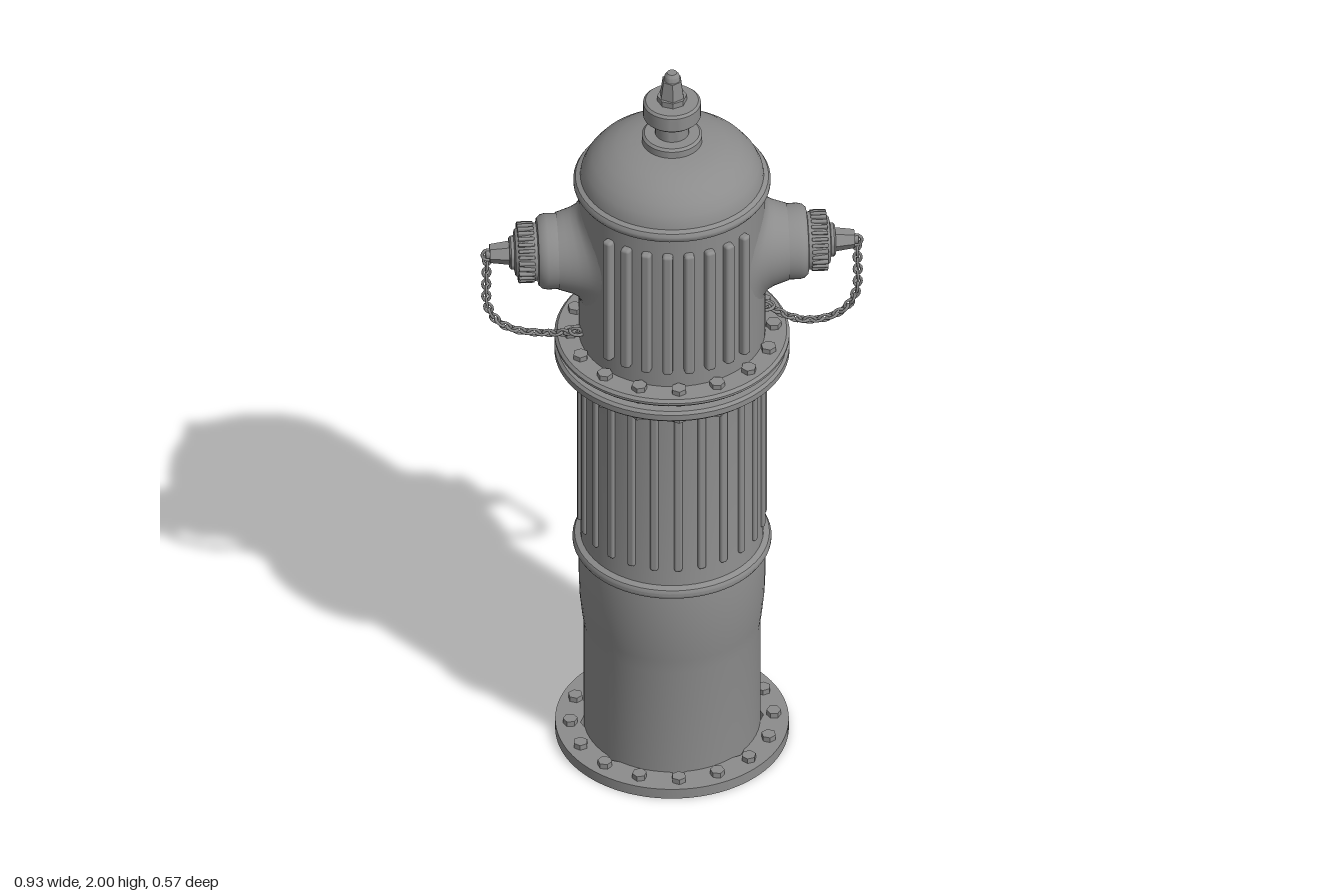
import * as THREE from 'three';
import { toCreasedNormals } from 'three/addons/utils/BufferGeometryUtils.js';
import { RoundedBoxGeometry } from 'three/addons/geometries/RoundedBoxGeometry.js';

const material = new THREE.MeshStandardMaterial({ color: 0x8c8c8c, side: THREE.DoubleSide });
const HEAD_RADIUS = 0.226;

function add(parent, name, geometry, x = 0, y = 0, z = 0) {
  const mesh = new THREE.Mesh(geometry, material);
  mesh.name = name;
  mesh.position.set(x, y, z);
  parent.add(mesh);
  return mesh;
}

// Turned part from [radius, height] pairs, listed from bottom to top
const lathe = (profile, segments) =>
  new THREE.LatheGeometry(profile.map(([r, y]) => new THREE.Vector2(r, y)), segments);

function turned(parent, name, profile, segments = 64) {
  return add(parent, name, toCreasedNormals(lathe(profile, segments), 0.6));
}

function prism(rTop, rBottom, height, sides) {
  return toCreasedNormals(new THREE.CylinderGeometry(rTop, rBottom, height, sides), 0.5);
}

// Repeats a part around the vertical axis at the given angles
function around(parent, name, geometry, radius, y, angles) {
  for (const a of angles) {
    add(parent, name, geometry, Math.sin(a) * radius, y, Math.cos(a) * radius).rotation.y = a;
  }
}

const circle = (n) => Array.from({ length: n }, (_, i) => (i / n) * Math.PI * 2);

function flange(parent, name, y0, y1) {
  turned(parent, name, [
    [0.2, y0], [0.278, y0], [0.285, y0 + 0.007], [0.285, y1 - 0.007], [0.278, y1], [0.2, y1], [0.2, y0],
  ]);
}

function buildBarrel(group) {
  // Foot plate with an eight-sided opening
  const plate = new THREE.Shape().absarc(0, 0, 0.283, 0, Math.PI * 2);
  const opening = new THREE.Path();
  circle(8).forEach((a, i) => opening[i ? 'lineTo' : 'moveTo'](Math.cos(a) * 0.222, Math.sin(a) * 0.222));
  opening.closePath();
  plate.holes.push(opening);
  const plateGeometry = new THREE.ExtrudeGeometry(plate, { depth: 0.028, bevelEnabled: false, curveSegments: 64 });
  add(group, 'footPlate', toCreasedNormals(plateGeometry, 0.6)).rotation.x = -Math.PI / 2;
  around(group, 'footBolt', prism(0.018, 0.018, 0.016, 6), 0.247, 0.034, circle(16));

  turned(group, 'lowerBarrel', [
    [0.214, 0.01], [0.214, 0.33], [0.219, 0.37], [0.224, 0.42], [0.226, 0.47], [0.226, 0.58],
    [0.222, 0.6], [0.222, 1.16],
  ]);
  turned(group, 'barrelRing', [
    [0.22, 0.57], [0.236, 0.574], [0.241, 0.583], [0.241, 0.59], [0.236, 0.598], [0.22, 0.604],
  ]);
  around(group, 'barrelRib', new RoundedBoxGeometry(0.02, 0.475, 0.018, 2, 0.006), 0.221, 0.887, circle(24));

  // Bolted joint with an open gap between the two flanges
  flange(group, 'lowerFlange', 1.148, 1.178);
  flange(group, 'upperFlange', 1.194, 1.214);
  around(group, 'jointBolt', prism(0.012, 0.012, 0.07, 12), 0.247, 1.18, circle(16));
  around(group, 'jointBoltHead', prism(0.019, 0.019, 0.014, 6), 0.247, 1.22, circle(16));
  around(group, 'jointNut', prism(0.019, 0.019, 0.016, 6), 0.247, 1.139, circle(16));
}

function buildHead(group) {
  turned(group, 'headBody', [[HEAD_RADIUS, 1.2], [HEAD_RADIUS, 1.67]]);
  const rib = new RoundedBoxGeometry(0.025, 0.36, 0.03, 2, 0.008);
  const angles = [-3.5, -2.5, -1.5, -0.5, 0.5, 1.5, 2.5, 3.5].map((i) => i * 0.226);
  around(group, 'headRib', rib, 0.229, 1.44, [...angles, ...angles.map((a) => a + Math.PI)]);

  turned(group, 'bonnetRing', [
    [0.222, 1.658], [0.234, 1.661], [0.239, 1.669], [0.239, 1.677], [0.234, 1.685], [0.222, 1.69],
  ]);
  turned(group, 'bonnet', [
    [0.224, 1.68], [0.221, 1.7], [0.211, 1.722], [0.194, 1.744], [0.168, 1.765],
    [0.135, 1.781], [0.1, 1.79], [0.06, 1.795], [0, 1.797],
  ]);
  turned(group, 'bonnetCollar', [[0.073, 1.78], [0.073, 1.812], [0.067, 1.818], [0, 1.818]], 48);
  turned(group, 'operatingStem', [[0.041, 1.81], [0.041, 1.87]], 32);
  turned(group, 'stemDisc', [
    [0, 1.866], [0.064, 1.866], [0.07, 1.872], [0.07, 1.91], [0.064, 1.916], [0, 1.916],
  ], 48);
  add(group, 'operatingNutBase', prism(0.036, 0.036, 0.016, 8), 0, 1.923, 0);
  add(group, 'operatingNut', prism(0.025, 0.032, 0.05, 6), 0, 1.954, 0);
  turned(group, 'operatingNutTip', [[0.02, 1.976], [0.018, 1.992], [0.012, 2], [0, 2]], 16);
}

// Neck whose flared foot is bent to follow the round head
function neckGeometry() {
  const geometry = lathe([
    [0.146, 0.224], [0.128, 0.228], [0.115, 0.236], [0.106, 0.249], [0.1, 0.264], [0.094, 0.28],
  ], 48);
  const p = geometry.attributes.position;
  for (let i = 0; i < p.count; i++) {
    const sag = HEAD_RADIUS - Math.sqrt(HEAD_RADIUS ** 2 - p.getZ(i) ** 2);
    p.setY(i, p.getY(i) - sag * Math.min(1, (0.28 - p.getY(i)) / 0.05));
  }
  return toCreasedNormals(geometry, 0.8);
}

// Nozzle built upright, then laid down so that its axis points outward along +x
function buildNozzle(side) {
  const nozzle = new THREE.Group();
  nozzle.name = 'nozzle';
  nozzle.position.y = 1.47;
  nozzle.rotation.z = -Math.PI / 2;
  side.add(nozzle);

  add(nozzle, 'nozzleNeck', neckGeometry());
  turned(nozzle, 'nozzleRim', [
    [0.085, 0.272], [0.092, 0.276], [0.093, 0.305], [0.09, 0.318], [0.082, 0.327], [0.06, 0.331], [0, 0.331],
  ], 48);
  turned(nozzle, 'capBody', [
    [0.07, 0.325], [0.071, 0.338], [0.065, 0.372], [0.056, 0.382], [0.04, 0.385], [0, 0.385],
  ], 48);
  around(nozzle, 'capGrip', new RoundedBoxGeometry(0.009, 0.04, 0.016, 1, 0.003), 0.067, 0.356, circle(28));
  turned(nozzle, 'capCollar', [[0.041, 0.38], [0.041, 0.392], [0.036, 0.396], [0, 0.396]], 32);
  add(nozzle, 'capNut', prism(0.023, 0.03, 0.05, 6), 0, 0.418, 0);
  turned(nozzle, 'capNutTip', [[0.012, 0.44], [0.012, 0.452], [0, 0.455]], 16);
}

// Chain hanging from the cap nut to a hook on the head
function buildChain(side) {
  const chain = new THREE.Group();
  chain.name = 'chain';
  side.add(chain);

  const path = new THREE.CatmullRomCurve3([
    [0.449, 1.45, 0], [0.451, 1.38, 0], [0.447, 1.31, 0], [0.422, 1.262, 0], [0.38, 1.235, 0],
    [0.32, 1.226, -0.005], [0.27, 1.235, -0.02], [0.235, 1.25, -0.035],
  ].map((p) => new THREE.Vector3(...p)));
  const link = new THREE.TorusGeometry(0.009, 0.0035, 6, 12);
  link.scale(1.5, 1, 1);
  const count = 22;
  const sideways = new THREE.Vector3(0, 0, 1);
  for (let i = 0; i <= count; i++) {
    const tangent = path.getTangentAt(i / count);
    const normal = new THREE.Vector3().crossVectors(sideways, tangent).normalize();
    const binormal = new THREE.Vector3().crossVectors(tangent, normal);
    const mesh = add(chain, 'chainLink', link);
    mesh.position.copy(path.getPointAt(i / count));
    mesh.quaternion.setFromRotationMatrix(new THREE.Matrix4().makeBasis(tangent, normal, binormal));
    mesh.rotateX(i % 2 ? Math.PI / 2 : 0);
  }
  add(chain, 'capRing', new THREE.TorusGeometry(0.015, 0.004, 8, 20), 0.446, 1.466, 0);
  const hook = add(chain, 'chainHook', new THREE.TorusGeometry(0.018, 0.004, 8, 20), 0.232, 1.25, -0.035);
  hook.rotation.x = Math.PI / 2;
}

export function createModel() {
  const model = new THREE.Group();
  model.name = 'fireHydrant';
  buildBarrel(model);
  buildHead(model);

  // The two outlets match under a half turn
  for (const [name, turn] of [['leftOutlet', 0], ['rightOutlet', Math.PI]]) {
    const side = new THREE.Group();
    side.name = name;
    side.rotation.y = turn;
    buildNozzle(side);
    buildChain(side);
    model.add(side);
  }
  return model;
}
